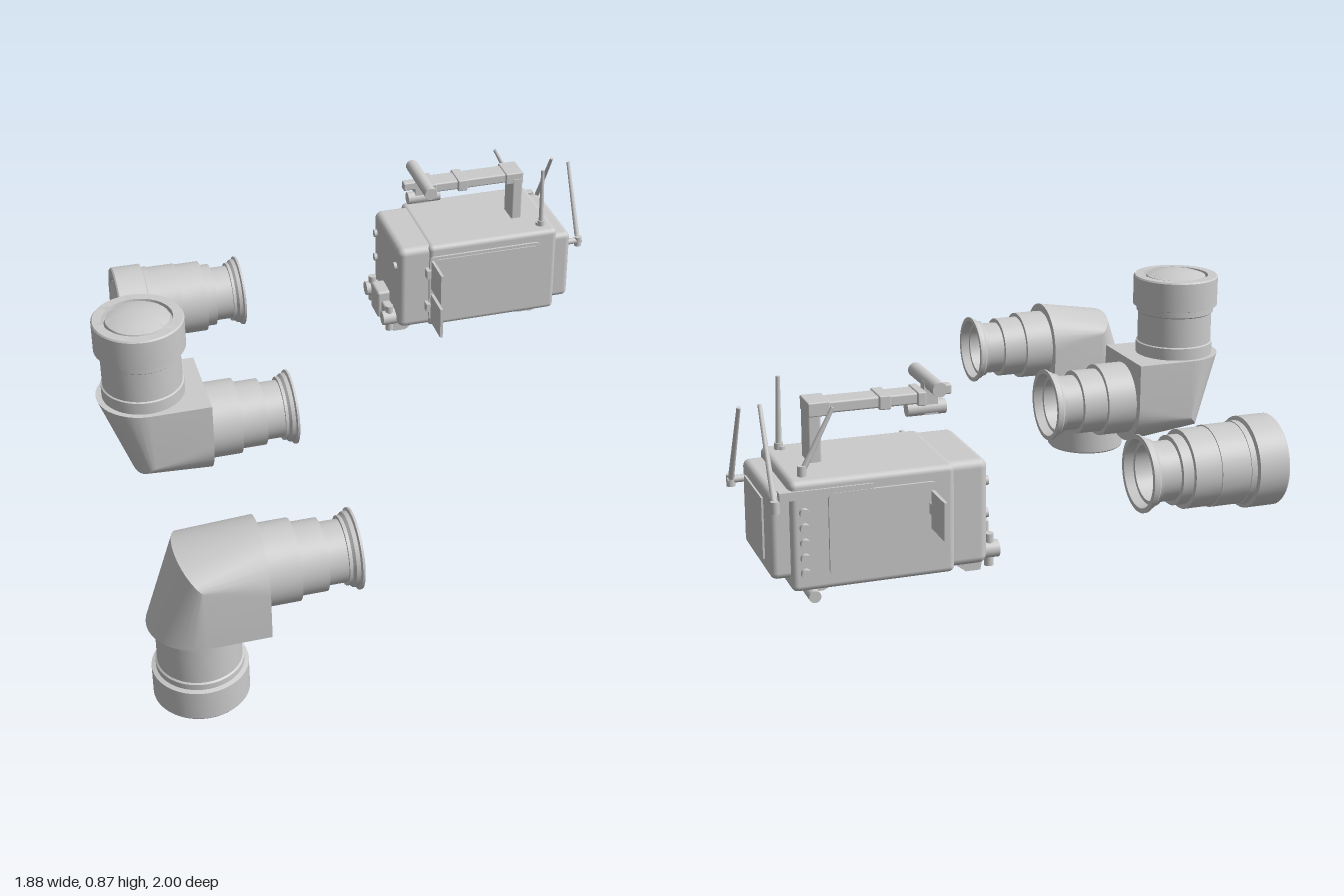
import * as THREE from 'three';
import { toCreasedNormals } from 'three/addons/utils/BufferGeometryUtils.js';
import { RoundedBoxGeometry } from 'three/addons/geometries/RoundedBoxGeometry.js';
import { ConvexGeometry } from 'three/addons/geometries/ConvexGeometry.js';

const grey = new THREE.MeshStandardMaterial({ color: 0xcccccc });
const AXIS_Y = 0.437; // height of the horizontal lens axis

function add(parent, name, geometry) {
  const mesh = new THREE.Mesh(geometry, grey);
  mesh.name = name;
  parent.add(mesh);
  return mesh;
}

// Box given by its extents on each axis; a radius rounds the edges
function box(parent, name, [x0, x1], [y0, y1], [z0, z1], radius = 0) {
  const size = [x1 - x0, y1 - y0, z1 - z0];
  const geo = radius ? new RoundedBoxGeometry(...size, 3, radius) : new THREE.BoxGeometry(...size);
  add(parent, name, geo).position.set((x0 + x1) / 2, (y0 + y1) / 2, (z0 + z1) / 2);
}

// Round bar between two points
function rod(parent, name, from, to, r, rEnd = r, sides = 20) {
  const a = new THREE.Vector3(...from), b = new THREE.Vector3(...to);
  const dir = b.clone().sub(a);
  const mesh = add(parent, name, new THREE.CylinderGeometry(rEnd, r, dir.length(), sides));
  mesh.position.copy(a).add(b).multiplyScalar(0.5);
  mesh.quaternion.setFromUnitVectors(new THREE.Vector3(0, 1, 0), dir.normalize());
}

// Flat panel with rounded corners in the xy plane
function panel(parent, name, [x0, x1], [y0, y1], [z0, z1], r) {
  const s = new THREE.Shape();
  s.absarc(x1 - r, y1 - r, r, 0, Math.PI / 2);
  s.absarc(x0 + r, y1 - r, r, Math.PI / 2, Math.PI);
  s.absarc(x0 + r, y0 + r, r, Math.PI, Math.PI * 1.5);
  s.absarc(x1 - r, y0 + r, r, Math.PI * 1.5, Math.PI * 2);
  const geo = new THREE.ExtrudeGeometry(s, { depth: z1 - z0, bevelEnabled: false, curveSegments: 6 });
  add(parent, name, geo).position.z = z0;
}

function turned(parent, name, profile) {
  const geo = new THREE.LatheGeometry(profile.map(p => new THREE.Vector2(...p)), 48);
  return add(parent, name, toCreasedNormals(geo, 0.5));
}

// Domed glass and hood, from the front tip of a lens inwards
const hood = [[0, 0], [0.04, 0.002], [0.075, 0.008], [0.1, 0.017], [0.104, 0.03], [0.108, 0.03],
  [0.11, 0.015], [0.14, 0.015], [0.144, 0.02], [0.144, 0.117], [0.131, 0.121], [0.131, 0.14]];

// Stepped rear barrel ending in an open mount, measured along x
const mount = [[0.116, -0.496], [0.109, -0.496], [0.109, -0.413], [0.094, -0.413], [0.094, -0.352],
  [0.104, -0.352], [0.104, -0.342], [0.112, -0.334], [0.114, -0.322], [0.122, -0.318], [0.122, -0.311],
  [0.107, -0.311], [0.1, -0.34], [0.088, -0.34], [0.088, -0.42], [0.075, -0.42], [0.075, -0.44], [0, -0.44]];

function straightLens(parent) {
  const lens = new THREE.Group();
  lens.name = 'straightLens';
  const barrel = turned(lens, 'barrel', [
    ...hood.map(([r, t]) => [r, t - 0.772]),
    [0.128, -0.632], [0.128, -0.535], [0.124, -0.535], [0.124, -0.448], [0.109, -0.448],
    ...mount.slice(2)]);
  barrel.rotation.z = -Math.PI / 2;
  lens.position.set(0, AXIS_Y, -0.677);
  parent.add(lens);
}

// D-shaped section standing on the elbow's inner corner
function section(dx, dy, straight) {
  const points = [], hinge = [-0.597, 0.288 - AXIS_Y];
  const put = (t, z) => points.push(new THREE.Vector3(hinge[0] + dx * t, hinge[1] + dy * t, z));
  put(0, 0.148);
  put(0, -0.148);
  for (let i = 0; i <= 32; i++) {
    const a = -Math.PI / 2 + Math.PI * i / 32;
    put(straight + (1 - straight) * Math.cos(a), 0.148 * Math.sin(a));
  }
  return points;
}

function elbowLens(parent, z, up) {
  const lens = new THREE.Group();
  lens.name = up ? 'upwardElbowLens' : 'downwardElbowLens';
  const elbow = new ConvexGeometry([
    ...section(-0.34, 0, 0.56), ...section(-0.247, 0.257, 0.77), ...section(0, 0.3, 0.5)]);
  add(lens, 'elbowHousing', toCreasedNormals(elbow, 0.35));
  turned(lens, 'frontBarrel', [...hood, [0.126, 0.144], [0.126, 0.245], [0.131, 0.248], [0.131, 0.3]])
    .position.set(-0.787, -AXIS_Y, 0);
  turned(lens, 'rearBarrel', [[0.123, -0.62], [0.123, -0.496], ...mount.slice(1)])
    .rotation.z = -Math.PI / 2;
  lens.position.set(0, AXIS_Y, z);
  if (up) lens.rotation.x = Math.PI;
  parent.add(lens);
}

function cameraBody(parent) {
  const cam = new THREE.Group();
  cam.name = 'camera';
  parent.add(cam);

  // Housing
  box(cam, 'frontSection', [0.236, 0.42], [0.275, 0.597], [-0.838, -0.514], 0.025);
  box(cam, 'mainHousing', [0.345, 0.828], [0.272, 0.6], [-0.862, -0.506], 0.018);
  box(cam, 'rearCover', [0.79, 0.884], [0.31, 0.572], [-0.845, -0.515], 0.02);
  box(cam, 'rearScreen', [0.87, 0.89], [0.353, 0.535], [-0.774, -0.565]);
  panel(cam, 'sideDoor', [0.345, 0.763], [0.303, 0.562], [-0.508, -0.498], 0.02);
  panel(cam, 'sideDoorInset', [0.36, 0.75], [0.314, 0.552], [-0.5, -0.494], 0.015);
  panel(cam, 'backDoor', [0.4, 0.72], [0.31, 0.56], [-0.87, -0.86], 0.02);

  // Square flaps with their hinges
  for (const [x, y, z, s] of [[0.352, 0.5, -0.372, 1], [0.352, 0.363, -0.372, 1], [0.42, 0.483, -1, -1]]) {
    const z1 = z - s * 0.115, hingeEnd = z - s * 0.14;
    box(cam, 'flap', [x - 0.005, x + 0.005], [y - 0.057, y + 0.057], [Math.min(z, z1), Math.max(z, z1)]);
    box(cam, 'flapHinge', [x - 0.02, x + 0.006], [y - 0.016, y + 0.016],
      [Math.min(z1, hingeEnd) - 0.002, Math.max(z1, hingeEnd) + 0.002]);
  }

  // Rod clamp at the bottom of the front end
  box(cam, 'clampBar', [0.205, 0.245], [0.27, 0.33], [-0.79, -0.56], 0.008);
  box(cam, 'clampBlock', [0.19, 0.245], [0.262, 0.368], [-0.72, -0.63], 0.01);
  for (const z of [-0.785, -0.565]) {
    rod(cam, 'clampRing', [0.188, 0.3, z], [0.24, 0.3, z], 0.026);
    rod(cam, 'clampKnob', [0.215, 0.25, z], [0.215, 0.35, z], 0.014);
  }
  for (const [y, z] of [[0.52, -0.8], [0.52, -0.55], [0.42, -0.8]])
    rod(cam, 'frontScrew', [0.225, y, z], [0.24, y, z], 0.014);

  // Underside feet
  for (const [x0, x1] of [[0.225, 0.345], [0.6, 0.78]]) {
    const s = new THREE.Shape();
    const low = x0 < 0.5 ? [x0 + 0.01, x0 + 0.055] : [x1 - 0.065, x1 - 0.015];
    s.moveTo(x0, 0.28).lineTo(low[0], 0.23).lineTo(low[1], 0.23).lineTo(x1, 0.28);
    add(cam, 'foot', new THREE.ExtrudeGeometry(s, { depth: 0.19, bevelEnabled: false })).position.z = -0.767;
  }
  rod(cam, 'footBar', [0.762, 0.25, -0.855], [0.762, 0.25, -0.57], 0.018);
  box(cam, 'basePlate', [0.345, 0.6], [0.262, 0.28], [-0.74, -0.6]);

  // Sockets along the back edge
  for (let i = 0; i < 5; i++)
    rod(cam, 'socket', [0.79, 0.33 + i * 0.045, -0.855], [0.79, 0.33 + i * 0.045, -0.878], 0.014);
  box(cam, 'backRail', [0.59, 0.86], [0.55, 0.575], [-0.868, -0.84]);
  rod(cam, 'topScrew', [0.775, 0.597, -0.56], [0.775, 0.61, -0.56], 0.011);

  // Top handle
  box(cam, 'handlePost', [0.695, 0.733], [0.59, 0.76], [-0.711, -0.629], 0.006);
  box(cam, 'handleGrip', [0.384, 0.735], [0.743, 0.777], [-0.715, -0.64], 0.006);
  for (const [x0, x1] of [[0.384, 0.41], [0.49, 0.525], [0.67, 0.735]])
    box(cam, 'handleBand', [x0, x1], [0.739, 0.781], [-0.725, -0.63], 0.004);

  // Viewfinder on the handle's front end
  rod(cam, 'viewfinderCrossTube', [0.358, 0.795, -0.768], [0.358, 0.795, -0.538], 0.022);
  box(cam, 'viewfinderArm', [0.338, 0.38], [0.7, 0.8], [-0.69, -0.655]);
  rod(cam, 'viewfinderTube', [0.312, 0.718, -0.672], [0.43, 0.718, -0.672], 0.022);
  box(cam, 'viewfinderLatch', [0.295, 0.345], [0.755, 0.785], [-0.688, -0.657], 0.005);

  // Antennas and their sockets: base, tip
  for (const [base, tip] of [
    [[0.782, 0.6, -0.555], [0.778, 0.82, -0.555]],
    [[0.78, 0.61, -0.81], [0.687, 0.79, -0.81]],
    [[0.87, 0.53, -0.855], [0.868, 0.785, -0.7]],
    [[0.925, 0.515, -0.545], [0.922, 0.775, -0.675]]]) {
    rod(cam, 'antenna', base, tip, 0.009, 0.006, 10);
    const [x, y, z] = base;
    rod(cam, 'antennaSocket', [x, y - 0.015, z], [x, y + 0.02, z], 0.013);
  }
  rod(cam, 'antennaBracket', [0.86, 0.52, -0.545], [0.937, 0.52, -0.545], 0.011);
}

export function createModel() {
  const model = new THREE.Group();
  model.name = 'cameraKit';
  elbowLens(model, 0.852, false);
  elbowLens(model, 0.088, true);
  straightLens(model);
  cameraBody(model);
  return model;
}
